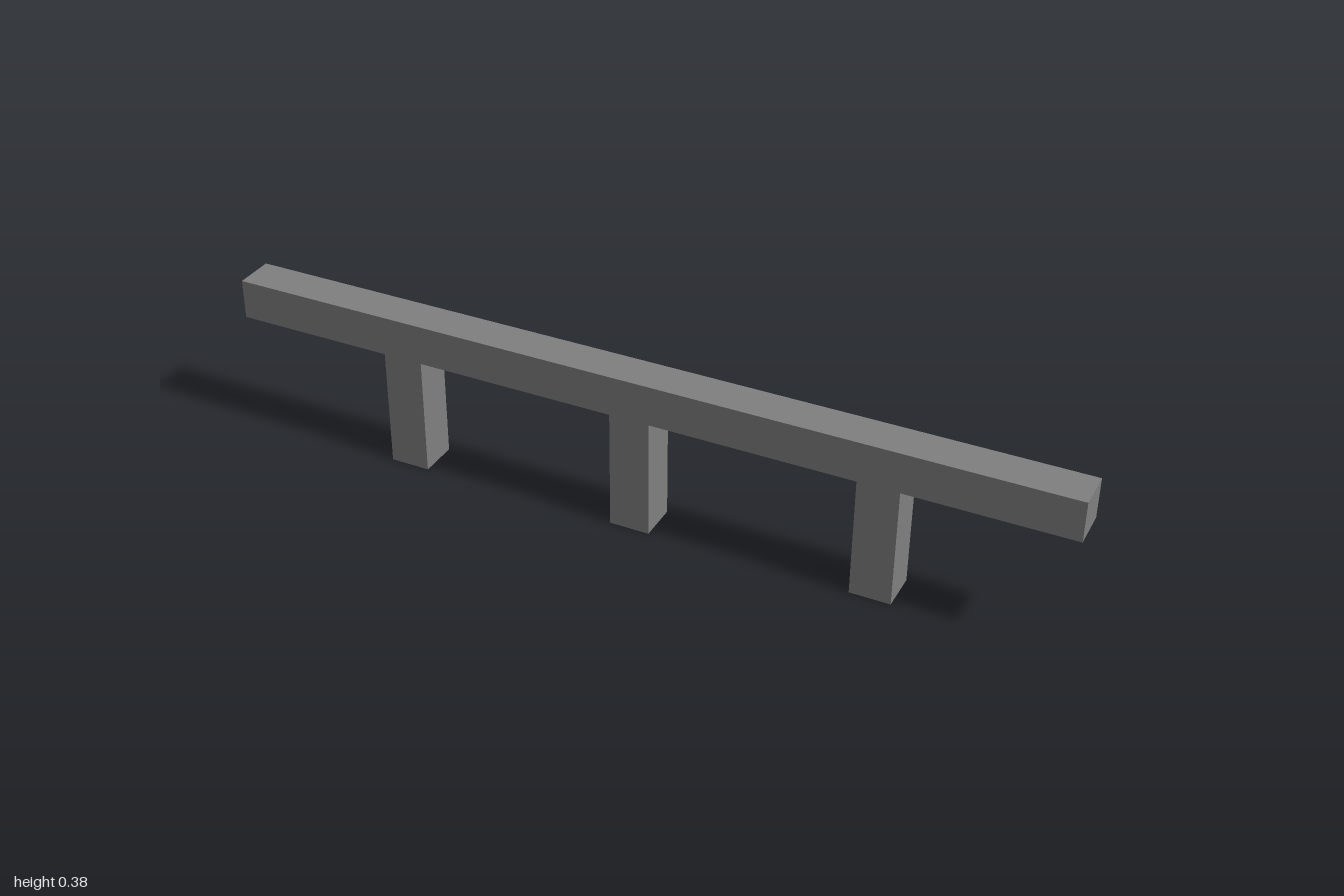
import * as THREE from 'three';

// Everything is laid out on a square-section unit: the rail is 21 units long.
const U = 2 / 21;
const POST_HEIGHT = 3 * U;
const POST_SPACING = 6 * U;

export function createModel() {
  const group = new THREE.Group();
  group.name = 'railing';

  const grey = new THREE.MeshStandardMaterial({ color: 0x808080 });
  grey.name = 'grey';

  const addBox = (name, width, height, x, y) => {
    const mesh = new THREE.Mesh(new THREE.BoxGeometry(width, height, U), grey);
    mesh.name = name;
    mesh.position.set(x, y, 0);
    group.add(mesh);
  };

  // Long horizontal rail resting on the posts
  addBox('rail', 21 * U, U, 0, POST_HEIGHT + U / 2);

  // Three evenly spaced posts
  ['rightPost', 'middlePost', 'leftPost'].forEach((name, i) => {
    addBox(name, U, POST_HEIGHT, (i - 1) * POST_SPACING, POST_HEIGHT / 2);
  });

  return group;
}
